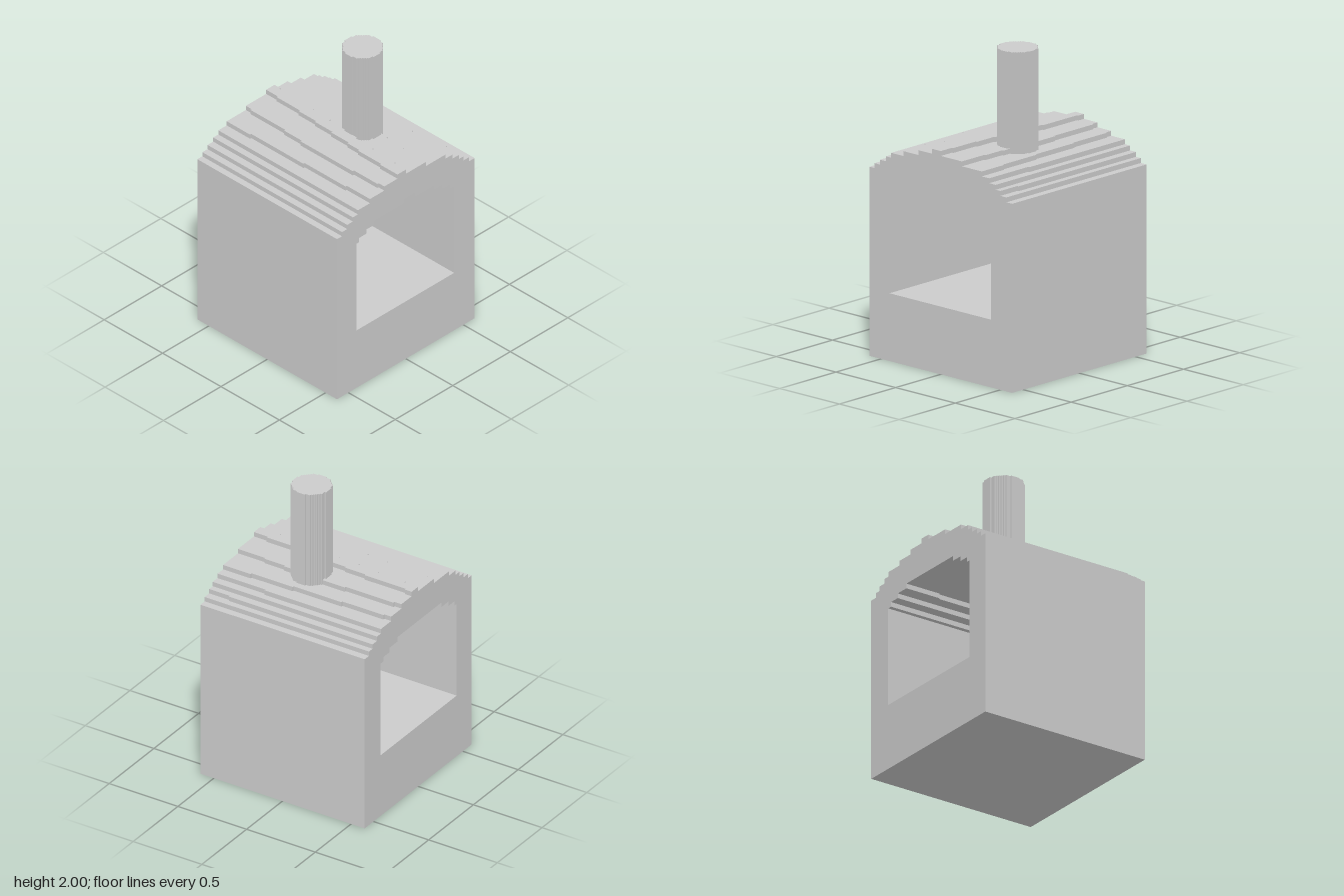
import * as THREE from 'three';

const HALF = 0.598;   // half width and depth of the house
const CELL = 0.0104;  // size of one sideways jog
const STEP = 0.031;   // height of one roof step
const SLICES = 24;
const snap = v => Math.round(v / CELL) * CELL;

// value along z from five evenly spaced samples (back to front), or a constant
function along(line, t) {
  if (typeof line === 'number') return line;
  const s = t * 4, i = Math.min(3, Math.floor(s));
  return snap(THREE.MathUtils.lerp(line[i], line[i + 1], s - i));
}

// x of each roof riser, from eaves to ridge
const roofLeft = [-0.555, [-0.505, -0.51, -0.51, -0.51, -0.51], -0.46, [-0.415, -0.415, -0.42, -0.42, -0.42],
  [-0.345, -0.335, -0.33, -0.32, -0.31], [-0.18, -0.19, -0.21, -0.205, -0.19], [0, -0.015, -0.035, -0.06, -0.075]];
const roofRight = [0.55, [0.51, 0.51, 0.51, 0.51, 0.5], 0.46, [0.42, 0.42, 0.415, 0.41, 0.405],
  [0.305, 0.315, 0.325, 0.335, 0.345], [0.19, 0.2, 0.21, 0.19, 0.17], [0.07, 0.06, 0.04, 0.015, 0]];
// x of each ceiling riser, from wall to crown
const ceilLeft = [-0.405, -0.34, [-0.26, -0.265, -0.27, -0.275, -0.28]];
const ceilRight = [0.39, 0.32, [0.23, 0.235, 0.24, 0.245, 0.245]];
const recess = [[0.03, 0.02, 0.01, 0, -0.02], [0.04, 0.05, 0.055, 0.065, 0.08]];

// stepped arch from the right wall, over the top, to the left wall
function arch(right, left, y0, rise, t) {
  const up = [], down = [];
  right.forEach((r, k) => {
    const x = along(r, t), xl = along(left[k], t), y = y0 + k * rise;
    up.push([x, y], [x, y + rise]);
    down.unshift([xl, y + rise], [xl, y]);
  });
  return [up, down];
}

function outerLoop(t) {
  const [up, down] = arch(roofRight, roofLeft, 1.2, STEP, t);
  return [[-HALF, 0], [HALF, 0], [HALF, 1.2], ...up, ...down, [-HALF, 1.2]];
}

function innerLoop(t) {
  const [up, down] = arch(ceilRight, ceilLeft, 1.08, 0.0315, t);
  const top = 1.08 + 3 * 0.0315;
  const crown = t > 0.45 ? top + STEP : top; // shallow groove in the front half
  const xl = along(recess[0], t), xr = along(recess[1], t);
  return [[-0.43, 0.43], [0.42, 0.43], [0.42, 1.08], ...up,
    [xr, top], [xr, crown], [xl, crown], [xl, top], ...down, [-0.43, 1.08]].reverse();
}

// walls between cross-sections; each slice is straight, with a jog between slices
function loft(loopAt, pos) {
  const sections = [];
  for (let i = 0; i < SLICES; i++) {
    const loop = loopAt((i + 0.5) / SLICES);
    for (const e of [i, i + 1]) {
      const z = -HALF + 2 * HALF * e / SLICES;
      sections.push(loop.map(([x, y]) => new THREE.Vector3(x, y, z)));
    }
  }
  const tri = new THREE.Triangle();
  for (let s = 0; s < sections.length - 1; s++) {
    const A = sections[s], B = sections[s + 1];
    A.forEach((a, i) => {
      const j = (i + 1) % A.length;
      for (const [p, q, r] of [[a, A[j], B[j]], [a, B[j], B[i]]]) {
        if (tri.set(p, q, r).getArea() > 1e-8) pos.push(...p.toArray(), ...q.toArray(), ...r.toArray());
      }
    });
  }
}

// flat end wall with the opening cut out
function endWall(t, z, flip, pos) {
  const vec = l => l.map(([x, y]) => new THREE.Vector2(x, y));
  const shape = new THREE.Shape(vec(outerLoop(t)));
  shape.holes.push(new THREE.Path(vec(innerLoop(t))));
  const g = new THREE.ShapeGeometry(shape), p = g.attributes.position, idx = g.index.array;
  for (let i = 0; i < idx.length; i += 3) {
    const order = flip ? [0, 2, 1] : [0, 1, 2];
    for (const k of order) pos.push(p.getX(idx[i + k]), p.getY(idx[i + k]), z);
  }
}

// round column with a stair-stepped outline
function chimneyGeometry(radius, height) {
  const n = Math.round(radius / CELL), right = [], left = [];
  for (let i = -n; i < n; i++) {
    const y = (i + 0.5) * CELL;
    const w = snap(Math.sqrt(Math.max(0, radius * radius - y * y)));
    for (const e of [i, i + 1]) {
      right.push(new THREE.Vector2(w, e * CELL));
      left.unshift(new THREE.Vector2(-w, e * CELL));
    }
  }
  // keep only the corners
  const pts = [...right, ...left];
  const corners = pts.filter((p, i) => {
    const a = pts[(i + pts.length - 1) % pts.length], b = pts[(i + 1) % pts.length];
    return p.distanceTo(a) > 1e-6 && Math.abs((p.x - a.x) * (b.y - p.y) - (p.y - a.y) * (b.x - p.x)) > 1e-9
      || (p.distanceTo(a) > 1e-6 && p.distanceTo(b) < 1e-6);
  });
  return new THREE.ExtrudeGeometry(new THREE.Shape(corners), { depth: height, bevelEnabled: false })
    .rotateX(-Math.PI / 2);
}

export function createModel() {
  const group = new THREE.Group();
  const material = new THREE.MeshStandardMaterial({ color: 0xcccccc, flatShading: true });

  // house shell: walls, floor, stepped roof and ceiling
  const pos = [];
  loft(outerLoop, pos);
  loft(innerLoop, pos);
  endWall(0.5 / SLICES, -HALF, true, pos);
  endWall(1 - 0.5 / SLICES, HALF, false, pos);
  const shell = new THREE.BufferGeometry();
  shell.setAttribute('position', new THREE.Float32BufferAttribute(pos, 3));
  shell.computeVertexNormals();
  const house = new THREE.Mesh(shell, material);
  house.name = 'houseShell';
  group.add(house);

  // chimney, sunk slightly into the roof
  const chimney = new THREE.Mesh(chimneyGeometry(0.125, 0.66), material);
  chimney.name = 'chimney';
  chimney.position.set(0.153, 1.34, 0.077);
  group.add(chimney);

  return group;
}
